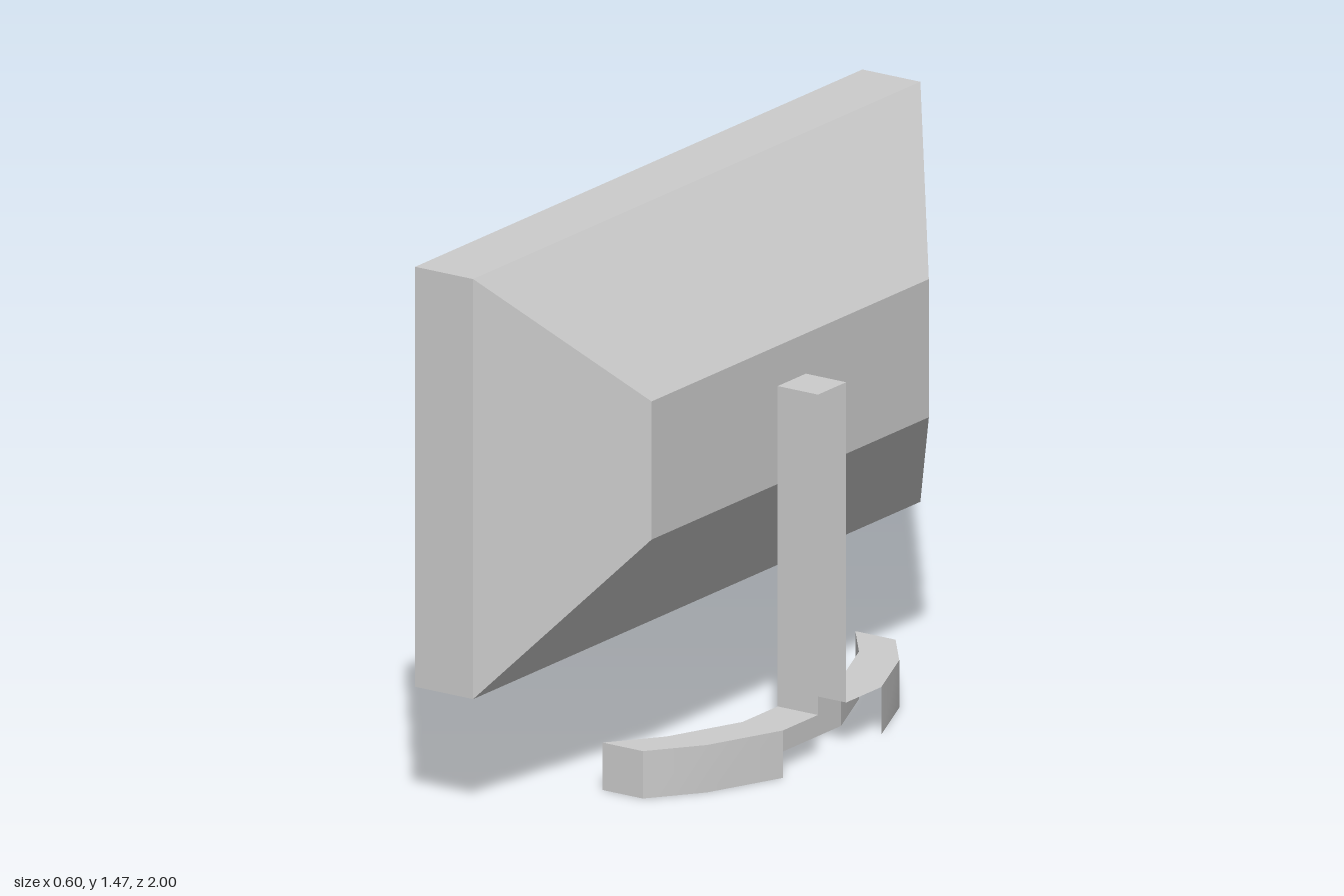
import * as THREE from 'three';

const grey = new THREE.MeshStandardMaterial({ color: 0xcccccc });
const flatGrey = new THREE.MeshStandardMaterial({ color: 0xcccccc, flatShading: true });
const sheet = new THREE.MeshStandardMaterial({ color: 0xcccccc, side: THREE.DoubleSide });

function mesh(name, positions, index, material) {
  const g = new THREE.BufferGeometry();
  g.setAttribute('position', new THREE.Float32BufferAttribute(positions.flat(), 3));
  g.setIndex(index);
  g.computeVertexNormals();
  const m = new THREE.Mesh(g, material);
  m.name = name;
  return m;
}

// Sheet stretched between two polylines of [x, y, z] points
function strip(name, a, b) {
  const n = a.length;
  const index = [];
  for (let i = 0; i < n - 1; i++) index.push(i, n + i, i + 1, n + i, n + i + 1, i + 1);
  return mesh(name, [...a, ...b], index, sheet);
}

// Rectangular ring, counter-clockwise seen from +x
const ring = ([x, y0, y1, z]) => [[x, y0, z], [x, y0, -z], [x, y1, -z], [x, y1, z]];

// Casing: recess, bezel, rim and tapered back, lofted through rings
function casing() {
  const rings = [
    [-0.28, 0.41, 1.445, 0.98],
    [-0.3, 0.41, 1.445, 0.98],
    [-0.3, 0.34, 1.465, 1],
    [-0.12, 0.34, 1.465, 1],
    [0.17, 0.72, 1.09, 0.62],
  ];
  const index = [];
  for (let r = 0; r < rings.length - 1; r++) {
    for (let i = 0; i < 4; i++) {
      const a = r * 4 + i, b = r * 4 + (i + 1) % 4;
      index.push(a, b, b + 4, a, b + 4, a + 4);
    }
  }
  const e = (rings.length - 1) * 4;
  index.push(e, e + 1, e + 2, e, e + 2, e + 3);
  return mesh('casing', rings.flatMap(ring), index, flatGrey);
}

export function createModel() {
  const model = new THREE.Group();
  model.name = 'monitor';
  model.add(casing());
  model.add(mesh('screen', ring([-0.28, 0.41, 1.445, 0.98]), [3, 2, 1, 3, 1, 0], grey));

  const h = 0.127, top = 0.985, half = 0.063, xBack = 0.3, xFront = 0.175;
  const at = (pts, y, s) => pts.map(([x, z]) => [x, y, s * z]);
  const outer = [[xBack, 0.22], [0.21, 0.43], [0.105, 0.565]];
  const inner = outer.map(([x, z]) => [x - 0.125, z]);

  // Stand: a hollow channel, open at the back of the post and below the base
  const base = new THREE.Group();
  base.name = 'base';
  const post = new THREE.Group();
  post.name = 'post';

  for (const s of [1, -1]) {
    const side = s > 0 ? 'left' : 'right';
    const add = (group, part, a, b) => group.add(s > 0 ? strip(side + part, a, b) : strip(side + part, b, a));
    add(base, 'OuterWall', at(outer, 0, s), at(outer, h, s));
    add(base, 'InnerWall', at(inner, h, s), at(inner, 0, s));
    add(base, 'Top', at([[xBack, half], ...outer], h, s), at([[xFront, half], ...inner], h, s));
    const end = [outer[2], inner[2]];
    add(base, 'End', at(end, 0, s), at(end, h, s));
    const edge = [[xBack, half], [xFront, half]];
    add(post, 'PostSide', at(edge, h, s), at(edge, top, s));
  }
  base.add(strip('centreWall',
    [[xFront, h, -0.22], [xFront, h, 0.22]], [[xFront, 0, -0.22], [xFront, 0, 0.22]]));
  post.add(strip('postFront',
    [[xFront, top, -half], [xFront, top, half]], [[xFront, h, -half], [xFront, h, half]]));
  post.add(strip('postTop',
    [[xBack, top, -half], [xBack, top, half]], [[xFront, top, -half], [xFront, top, half]]));

  model.add(base, post);
  return model;
}
